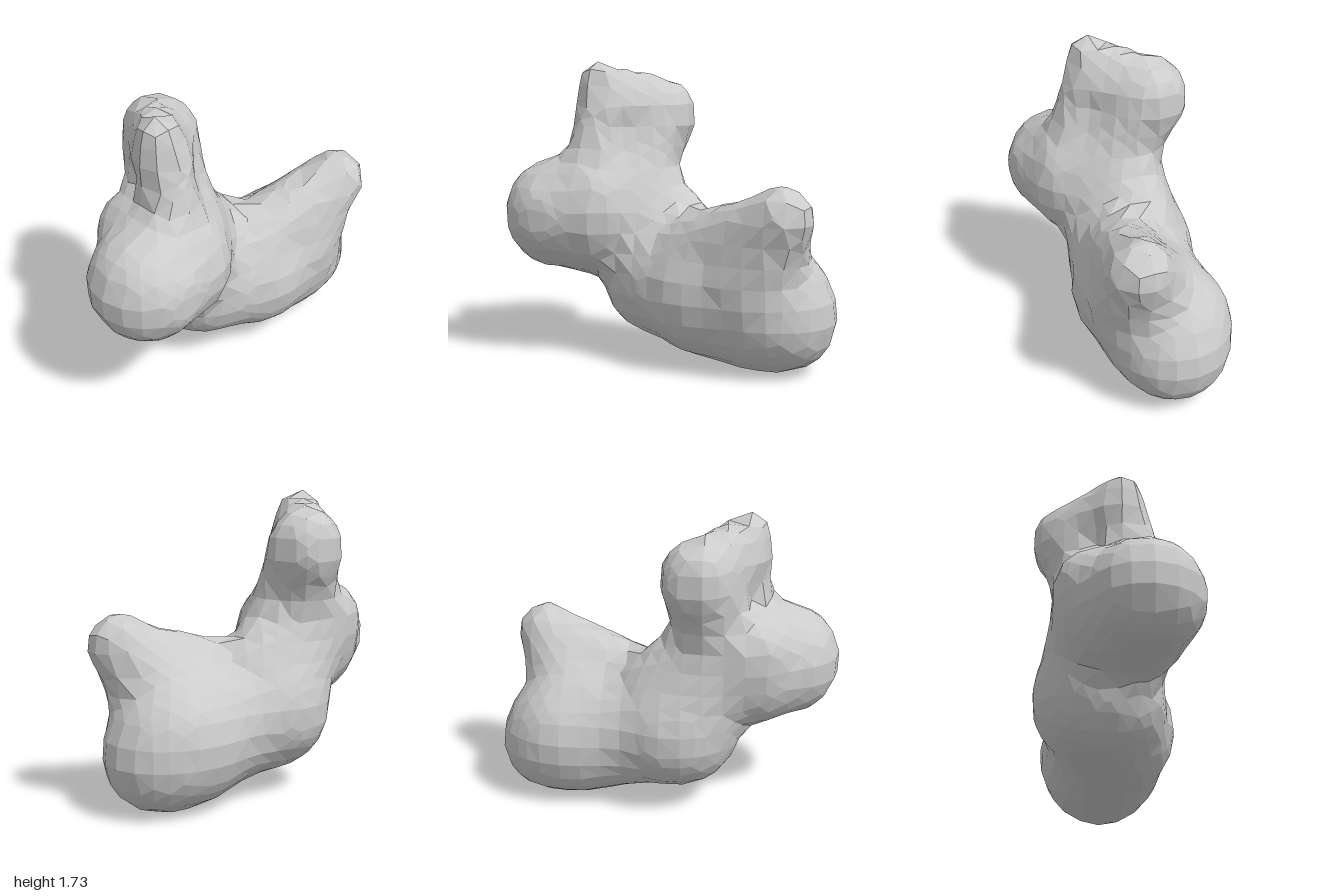
import * as THREE from 'three';

const V = (x, y, z) => new THREE.Vector3(x, y, z);

// Tapered rounded limbs that melt together: start, radius, end, radius
const limbs = [
  [V(0.02, 0.385, -0.58), 0.37, V(0.04, 0.43, -0.24), 0.36],     // rear belly
  [V(0.02, 0.305, -0.69), 0.3, V(0.01, 0.34, -0.5), 0.335],      // rump
  [V(0.04, 0.43, -0.24), 0.36, V(-0.06, 0.49, 0.07), 0.36],      // front belly
  [V(0.125, 0.58, -0.54), 0.32, V(0.265, 0.91, -0.765), 0.165],  // tail
  [V(0.26, 0.89, -0.72), 0.16, V(0.1, 0.67, -0.2), 0.22],        // back ridge
  [V(-0.06, 0.49, 0.07), 0.36, V(-0.05, 0.9, 0.31), 0.3],        // chest
  [V(-0.09, 0.75, -0.05), 0.18, V(-0.08, 0.98, 0.2), 0.18],      // nape
  [V(0.055, 0.845, 0.48), 0.38, V(0.13, 0.84, 0.675), 0.33],     // front ball
  [V(-0.14, 0.98, 0.5), 0.21, V(0.12, 1.03, 0.52), 0.2],         // shoulders
  [V(-0.245, 1.4, 0.2), 0.2, V(-0.05, 1, 0.32), 0.26],           // neck
  [V(-0.245, 1.4, 0.2), 0.2, V(0, 1.46, 0.42), 0.165],           // crest
  [V(-0.28, 1.49, 0.21), 0.14, V(0.025, 1.615, 0.46), 0.105],    // crest top
  [V(0.025, 1.6, 0.455), 0.105, V(0.1, 1.2, 0.45), 0.165],       // crest front
];

const ab = V(0, 0, 0), ap = V(0, 0, 0);
function limbDistance(p, [a, ra, b, rb]) {
  ab.subVectors(b, a);
  ap.subVectors(p, a);
  const t = THREE.MathUtils.clamp(ap.dot(ab) / ab.lengthSq(), 0, 1);
  return ap.addScaledVector(ab, -t).length() - (ra + (rb - ra) * t);
}

// Smooth union of all limbs, negative inside
function field(p) {
  const k = 0.07;
  return limbs.reduce((d, limb) => {
    const e = limbDistance(p, limb);
    const h = Math.max(k - Math.abs(d - e), 0) / k;
    return Math.min(d, e) - h * h * k * 0.25;
  }, 10);
}

// Pull a point onto the surface along the gradient
function project(p) {
  const s = 0.004;
  for (let i = 0; i < 4; i++) {
    const g = V(0, 0, 0);
    for (const axis of ['x', 'y', 'z']) {
      const q = p.clone(), r = p.clone();
      q[axis] += s;
      r[axis] -= s;
      g[axis] = (field(q) - field(r)) / (2 * s);
    }
    p.addScaledVector(g, -field(p) / Math.max(g.lengthSq(), 0.3));
  }
  return p;
}

// Coarse faceted skin: one vertex per crossed cell, one quad per crossed edge
function skinGeometry() {
  const cell = 0.1175, n = [12, 20, 22], origin = V(-0.744, -0.231, -1.349);
  const stride = [1, n[0], n[0] * n[1]];
  const at = (i, j, k) => V(i, j, k).multiplyScalar(cell).add(origin);
  const values = [], cellVertex = new Map(), points = [], index = [];

  const eachNode = (fn) => {
    for (let k = 0; k < n[2]; k++)
      for (let j = 0; j < n[1]; j++)
        for (let i = 0; i < n[0]; i++) fn([i, j, k], i + j * stride[1] + k * stride[2]);
  };
  eachNode((c) => values.push(field(at(...c))));

  eachNode((c, id) => {
    if (c.some((v, d) => v >= n[d] - 1)) return;
    const sum = V(0, 0, 0);
    let count = 0;
    for (let corner = 0; corner < 8; corner++)
      for (let d = 0; d < 3; d++) {
        if (corner >> d & 1) continue;
        const o = [corner & 1, corner >> 1 & 1, corner >> 2 & 1];
        const from = id + o[0] + o[1] * stride[1] + o[2] * stride[2];
        const f0 = values[from], f1 = values[from + stride[d]];
        if (f0 < 0 === f1 < 0) continue;
        const e = c.map((v, m) => v + o[m]);
        e[d] += f0 / (f0 - f1);
        sum.add(at(...e));
        count++;
      }
    if (!count) return;
    cellVertex.set(id, points.length);
    points.push(project(sum.divideScalar(count)));
  });

  eachNode((c, id) => {
    for (let d = 0; d < 3; d++) {
      const u = stride[(d + 1) % 3], v = stride[(d + 2) % 3];
      if (c[d] >= n[d] - 1 || values[id] < 0 === values[id + stride[d]] < 0) continue;
      const quad = [id - u - v, id - v, id, id - u].map((m) => cellVertex.get(m));
      if (values[id] >= 0) quad.reverse();
      const [a, b, e, f] = quad;
      if (points[a].distanceTo(points[e]) < points[b].distanceTo(points[f])) index.push(a, b, e, a, e, f);
      else index.push(a, b, f, b, e, f);
    }
  });

  const geometry = new THREE.BufferGeometry().setFromPoints(points);
  geometry.setIndex(index);
  geometry.computeVertexNormals();
  return geometry;
}

export function createModel() {
  const material = new THREE.MeshStandardMaterial({ color: 0xcccccc, flatShading: true });
  const body = new THREE.Mesh(skinGeometry(), material);
  body.name = 'body';
  const model = new THREE.Group();
  model.name = 'blobFigure';
  model.add(body);
  return model;
}
